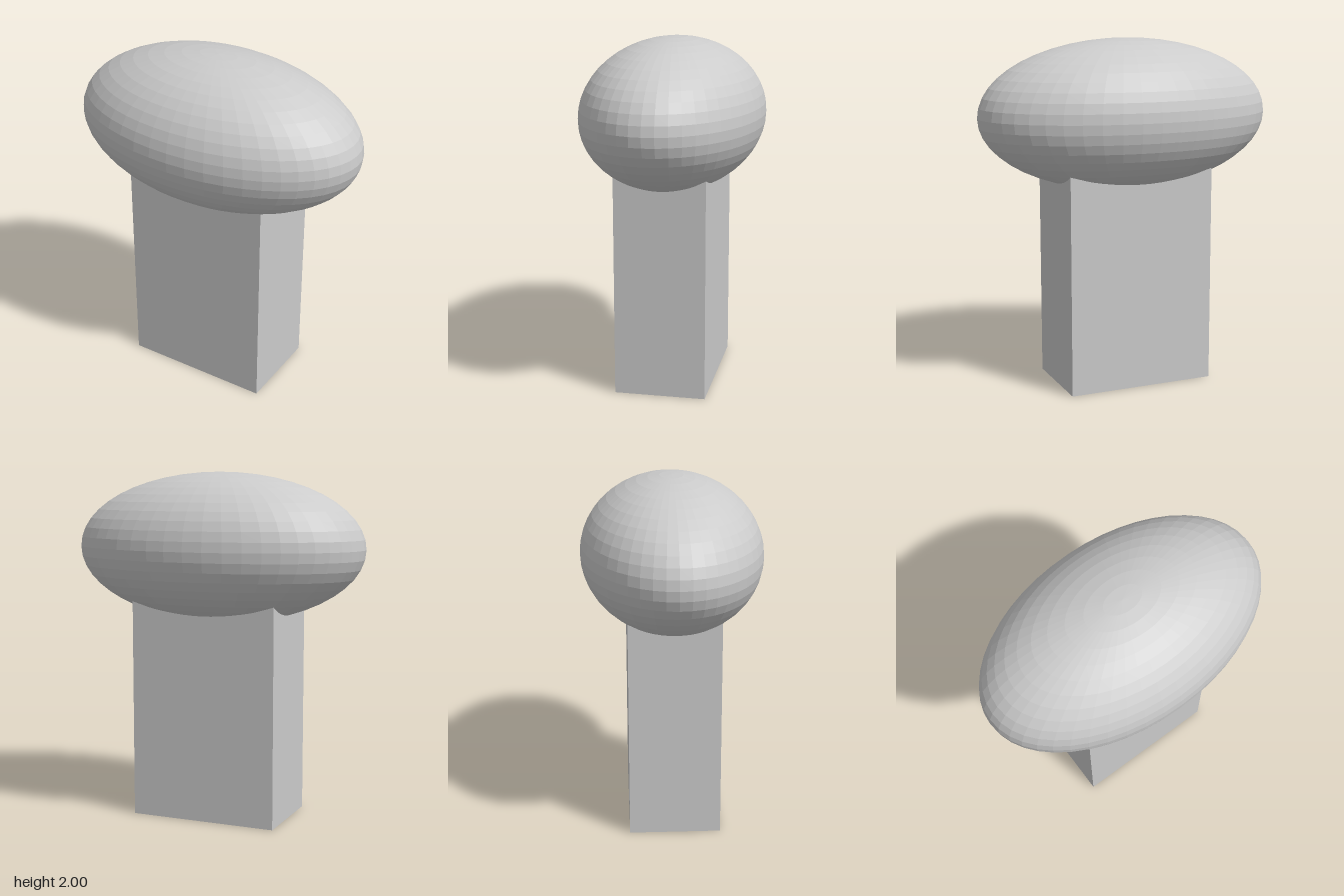
import * as THREE from 'three';

export function createModel() {
  const group = new THREE.Group();
  const material = new THREE.MeshStandardMaterial({ color: 0xcccccc, flatShading: true });
  const radii = new THREE.Vector3(0.866, 0.433, 0.52);
  const centreY = 2 - radii.y;

  // Faceted ellipsoid cap
  const cap = new THREE.Mesh(new THREE.SphereGeometry(1, 48, 24), material);
  cap.name = 'cap';
  cap.scale.copy(radii);
  cap.position.y = centreY;
  group.add(cap);

  // Rectangular post, half the cap's width and depth, its top sunk into the cap
  const postHeight = 1.4;
  const post = new THREE.Mesh(new THREE.BoxGeometry(radii.x, postHeight, radii.z), material);
  post.name = 'post';
  post.position.y = postHeight / 2;
  group.add(post);

  return group;
}
